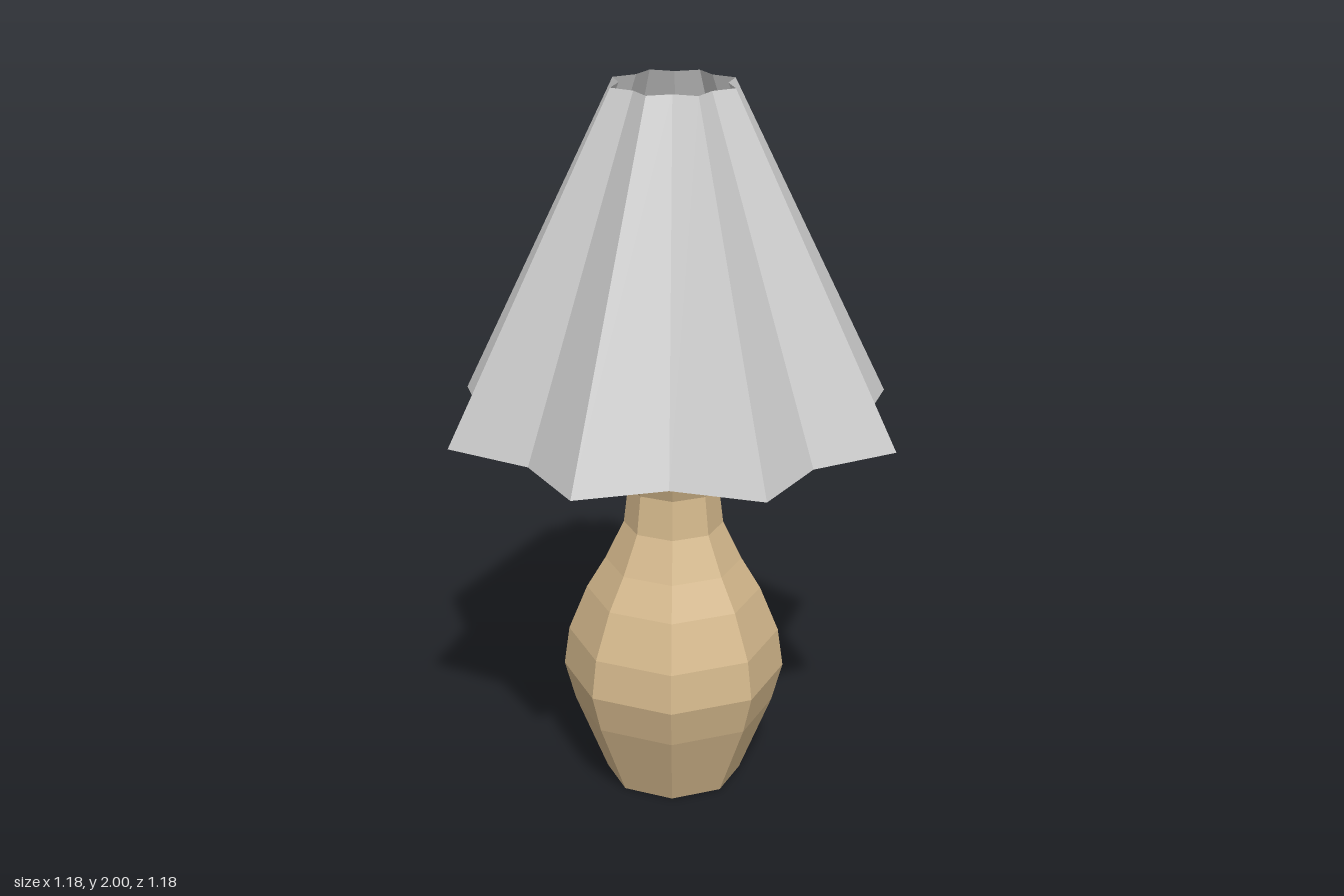
import * as THREE from 'three';

export function createModel() {
  const lamp = new THREE.Group();
  lamp.name = 'tableLamp';

  // Eight-sided turned base, closed at bottom and top
  const profile = [
    [0, 0], [0.19, 0], [0.235, 0.11], [0.28, 0.22], [0.31, 0.33], [0.295, 0.44],
    [0.243, 0.57], [0.19, 0.66], [0.138, 0.77], [0.125, 0.88], [0.163, 0.985],
    [0.12, 1.1], [0, 1.1],
  ].map(([r, y]) => new THREE.Vector2(r, y));
  const base = new THREE.Mesh(
    new THREE.LatheGeometry(profile, 8),
    new THREE.MeshStandardMaterial({ color: 0xd4b88c, flatShading: true })
  );
  base.name = 'base';
  lamp.add(base);

  // Pleated shade: an open cone whose alternate corners are pulled inward
  const bottom = 1.075, top = 2;
  const outerTop = 0.174, outerBottom = 0.638, valley = 0.815;
  const geo = new THREE.CylinderGeometry(outerTop, outerBottom, top - bottom, 16, 1, true);
  const pos = geo.attributes.position;
  for (let i = 0; i < pos.count; i++) {
    const step = Math.round(Math.atan2(pos.getX(i), pos.getZ(i)) / (Math.PI / 8));
    const k = step % 2 === 0 ? valley : 1;
    pos.setX(i, pos.getX(i) * k);
    pos.setZ(i, pos.getZ(i) * k);
  }
  geo.translate(0, (top + bottom) / 2, 0);
  geo.computeVertexNormals();
  const shade = new THREE.Mesh(
    geo,
    new THREE.MeshStandardMaterial({ color: 0xcccccc, flatShading: true, side: THREE.DoubleSide })
  );
  shade.name = 'pleatedShade';
  lamp.add(shade);

  return lamp;
}
